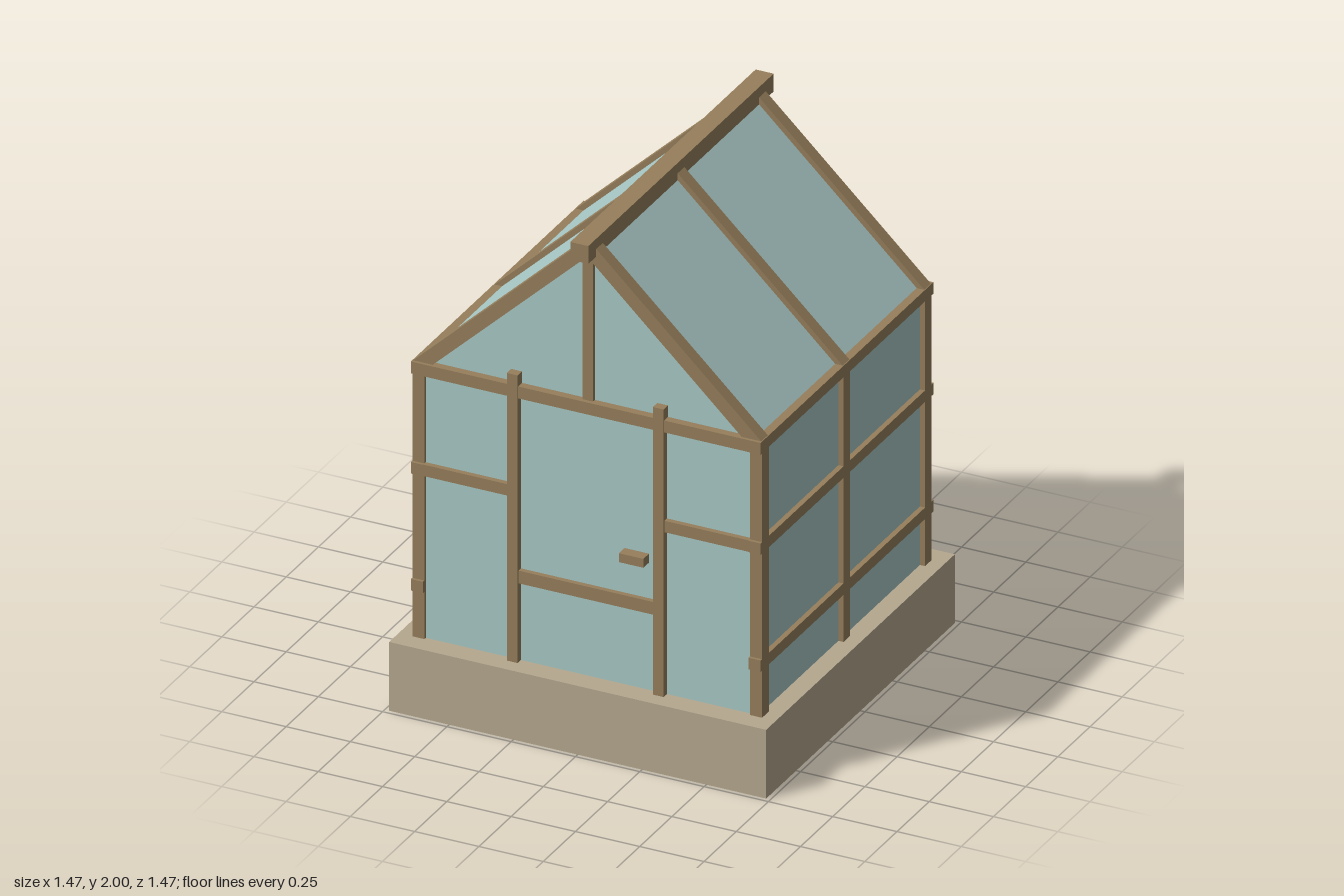
import * as THREE from 'three';

export function createModel() {
  const model = new THREE.Group();
  model.name = 'greenhouse';

  const mat = (name, color) => {
    const m = new THREE.MeshStandardMaterial({ color });
    m.name = name;
    return m;
  };
  const wood = mat('wood', 0x967f5c);
  const stone = mat('stone', 0xb5a88f);
  const glass = mat('glass', 0xa8c8c6);

  // Box given by its low and high limits on each axis
  const box = (name, material, [x0, x1], [y0, y1], [z0, z1]) => {
    const mesh = new THREE.Mesh(new THREE.BoxGeometry(x1 - x0, y1 - y0, z1 - z0), material);
    mesh.position.set((x0 + x1) / 2, (y0 + y1) / 2, (z0 + z1) / 2);
    mesh.name = name;
    model.add(mesh);
    return mesh;
  };
  const mirrored = (s, a, b) => (s > 0 ? [a, b] : [-b, -a]);

  // Sloping roof member between eave and ridge on side s
  const EAVE = [0.66, 1.335], RIDGE = [0, 1.957];
  const sloped = (name, material, s, thickness, width, z) => {
    const dx = EAVE[0] - RIDGE[0], dy = RIDGE[1] - EAVE[1];
    const mesh = new THREE.Mesh(new THREE.BoxGeometry(Math.hypot(dx, dy), thickness, width), material);
    mesh.position.set(s * (EAVE[0] + RIDGE[0]) / 2, (EAVE[1] + RIDGE[1]) / 2, z);
    mesh.rotation.z = -s * Math.atan2(dy, dx);
    mesh.name = name;
    model.add(mesh);
  };

  // Foundation and ridge beam
  box('foundation', stone, [-0.733, 0.733], [0, 0.27], [-0.733, 0.733]);
  box('ridgeBeam', wood, [-0.035, 0.035], [1.93, 2], [-0.72, 0.72]);

  for (const s of [1, -1]) {
    const wallX = mirrored(s, 0.633, 0.68);

    // Side posts and rafters
    for (const z of [0.633, 0, -0.633]) {
      box('sidePost', wood, wallX, [0.27, 1.33], [z - 0.026, z + 0.026]);
      sloped('rafter', wood, s, 0.052, 0.052, z);
    }
    // Side rails and eave
    for (const y of [0.455, 0.915, 1.31]) {
      box('sideRail', wood, wallX, [y, y + 0.045], [-0.672, 0.67]);
    }
    // Side and roof glazing
    box('sideGlass', glass, mirrored(s, 0.648, 0.66), [0.27, 1.33], [-0.63, 0.63]);
    sloped('roofGlass', glass, s, 0.012, 1.26, 0);

    // Door jambs
    box('doorJamb', wood, mirrored(s, 0.263, 0.305), [0.27, 1.4], [0.63, 0.674]);
    // Short rails beside the door and on the back wall
    box('frontRail', wood, mirrored(s, 0.29, 0.68), [0.915, 0.96], [0.63, 0.668]);
    box('backRail', wood, mirrored(s, 0.29, 0.68), [0.915, 0.96], [-0.66, -0.63]);
    // Gable posts, front and back
    box('gablePost', wood, [-0.02, 0.02], [1.335, 1.94], mirrored(s, 0.613, 0.655));
  }

  // Front top rail, door rail and handle
  box('frontTopRail', wood, [-0.68, 0.68], [1.308, 1.355], [0.625, 0.67]);
  box('doorRail', wood, [-0.265, 0.265], [0.58, 0.63], [0.63, 0.667]);
  box('doorHandle', wood, [0.14, 0.235], [0.77, 0.805], [0.64, 0.692]);

  // End wall glazing
  box('frontGlass', glass, [-0.64, 0.64], [0.27, 1.33], [0.636, 0.648]);
  box('backGlass', glass, [-0.64, 0.64], [0.27, 1.352], [-0.652, -0.63]);

  // Triangular gable glazing
  const tri = new THREE.Shape([
    new THREE.Vector2(-0.65, 1.335),
    new THREE.Vector2(0.65, 1.335),
    new THREE.Vector2(0, 1.95),
  ]);
  for (const z of [0.628, -0.64]) {
    const gable = new THREE.Mesh(new THREE.ExtrudeGeometry(tri, { depth: 0.012, bevelEnabled: false }), glass);
    gable.position.z = z;
    gable.name = 'gableGlass';
    model.add(gable);
  }

  return model;
}
